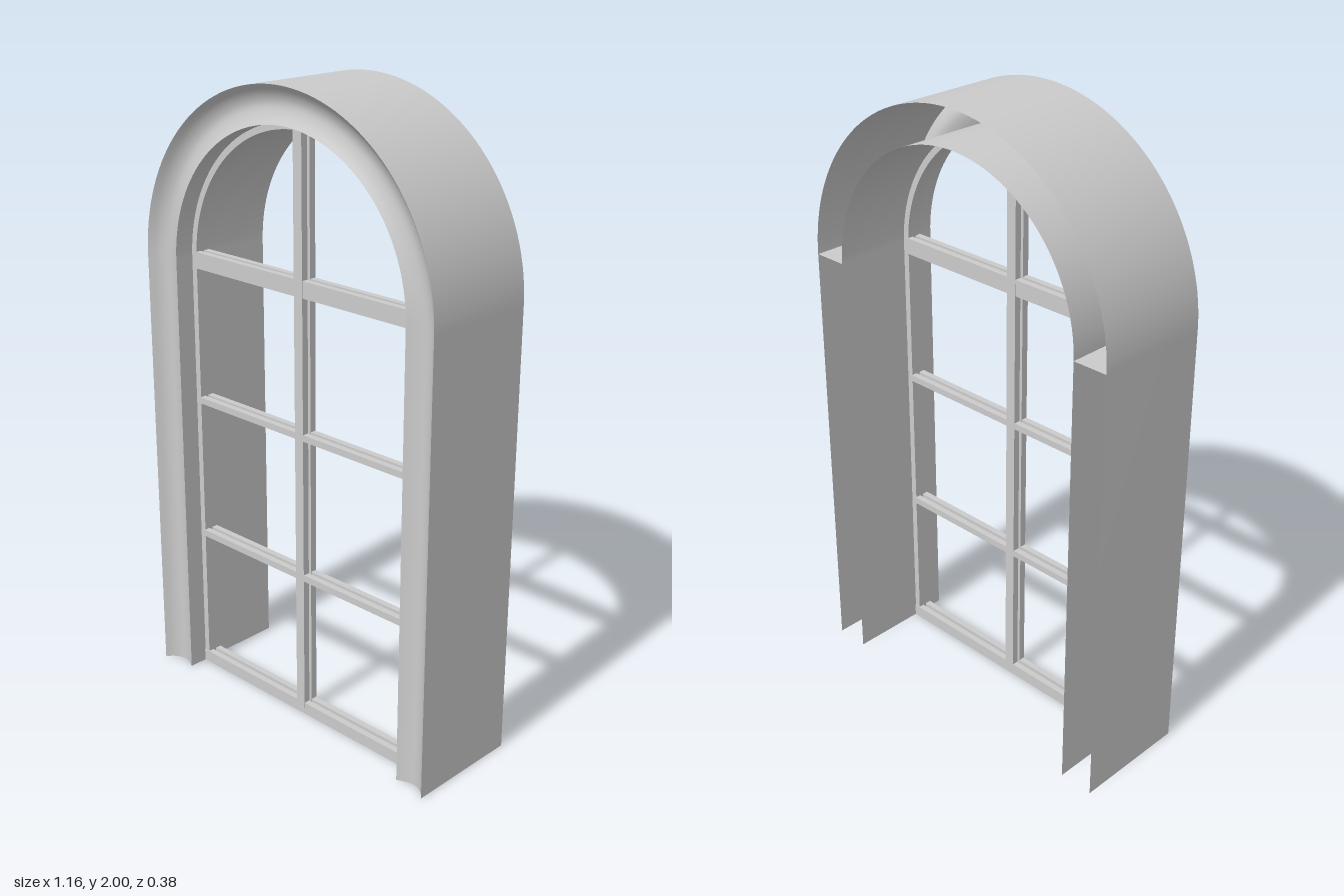
import * as THREE from 'three';

const SPRING = 1.422;              // height where the arch begins
const OUTER = 0.578, INNER = 0.465, SASH = 0.445;
const BACK = -0.19, FRONT = 0.19;

const mat = new THREE.MeshStandardMaterial({ color: 0xcccccc, side: THREE.DoubleSide });

// Sweep an open line of [radius, z] points up one leg, over the arch and down the other leg
function archSheet(name, line, segments = 64) {
  const stations = [[1, 0, 0]];    // cos, sin, base height
  for (let i = 0; i <= segments; i++) {
    const a = (Math.PI * i) / segments;
    stations.push([Math.cos(a), Math.sin(a), SPRING]);
  }
  stations.push([-1, 0, 0]);
  const pos = [], index = [], n = line.length;
  stations.forEach(([c, s, y], i) => {
    line.forEach(([r, z], j) => {
      pos.push(r * c, y + r * s, z);
      if (i && j) {
        const d = i * n + j, b = d - n;
        index.push(b - 1, b, d - 1, b, d, d - 1);
      }
    });
  });
  const geo = new THREE.BufferGeometry();
  geo.setAttribute('position', new THREE.Float32BufferAttribute(pos, 3));
  geo.setIndex(index);
  geo.computeVertexNormals();
  const mesh = new THREE.Mesh(geo, mat);
  mesh.name = name;
  return mesh;
}

function box(name, x0, x1, y0, y1, z0, z1) {
  const mesh = new THREE.Mesh(new THREE.BoxGeometry(x1 - x0, y1 - y0, z1 - z0), mat);
  mesh.position.set((x0 + x1) / 2, (y0 + y1) / 2, (z0 + z1) / 2);
  mesh.name = name;
  return mesh;
}

export function createModel() {
  const root = new THREE.Group();
  root.name = 'archedWindow';

  // Hollow casing: outer wall, coved front moulding, inner reveal; open at back and base
  const casing = new THREE.Group();
  casing.name = 'casing';
  const cove = new THREE.CatmullRomCurve3([
    [OUTER, FRONT], [0.553, 0.165], [0.522, 0.153], [0.49, 0.16], [INNER, 0.172],
  ].map(([r, z]) => new THREE.Vector3(r, z, 0))).getPoints(12).map((p) => [p.x, p.y]);
  casing.add(
    archSheet('outerWall', [[OUTER, BACK], [OUTER, FRONT]]),
    archSheet('frontMoulding', cove),
    archSheet('innerReveal', [[INNER, 0.172], [INNER, BACK]]),
  );

  // Thin webs closing the hollow legs at the spring line
  const webOutline = new THREE.Shape(
    [[OUTER, BACK], ...cove, [INNER, BACK]].map(([x, z]) => new THREE.Vector2(x, z)));
  for (const side of [1, -1]) {
    const geo = new THREE.ShapeGeometry(webOutline);
    geo.rotateX(Math.PI / 2);
    if (side < 0) geo.rotateZ(Math.PI).scale(1, -1, 1);
    geo.computeVertexNormals();
    const web = new THREE.Mesh(geo, mat);
    web.position.y = SPRING;
    web.name = side > 0 ? 'leftWeb' : 'rightWeb';
    casing.add(web);
  }
  root.add(casing);

  // Arched sash frame against the reveal
  const sash = new THREE.Group();
  sash.name = 'sashFrame';
  const zb = 0.06, zf = 0.108;
  sash.add(
    archSheet('sashFront', [[INNER, zf], [SASH, zf]]),
    archSheet('sashInside', [[SASH, zf], [SASH, zb]]),
    archSheet('sashBack', [[SASH, zb], [INNER, zb]]),
  );
  root.add(sash);

  // Glazing bars in front and back halves with a slot for the pane between them
  const bars = new THREE.Group();
  bars.name = 'glazingBars';
  const halves = [['front', 0.09, 0.11], ['back', 0.058, 0.078]];
  const rails = [
    ['BottomRail', 0, 0.04], ['LowerMuntin', 0.476, 0.498],
    ['UpperMuntin', 0.944, 0.965], ['Transom', 1.388, 1.44],
  ];
  for (const [half, z0, z1] of halves) {
    for (const [name, y0, y1] of rails) {
      const w = name === 'BottomRail' ? INNER : 0.455;
      bars.add(box(half + name, -w, w, y0, y1, z0, z1));
    }
    bars.add(box(half + 'Mullion', -0.017, 0.017, 0.02, SPRING + 0.455, z0 - 0.001, z1 + 0.001));
  }
  root.add(bars);

  return root;
}
